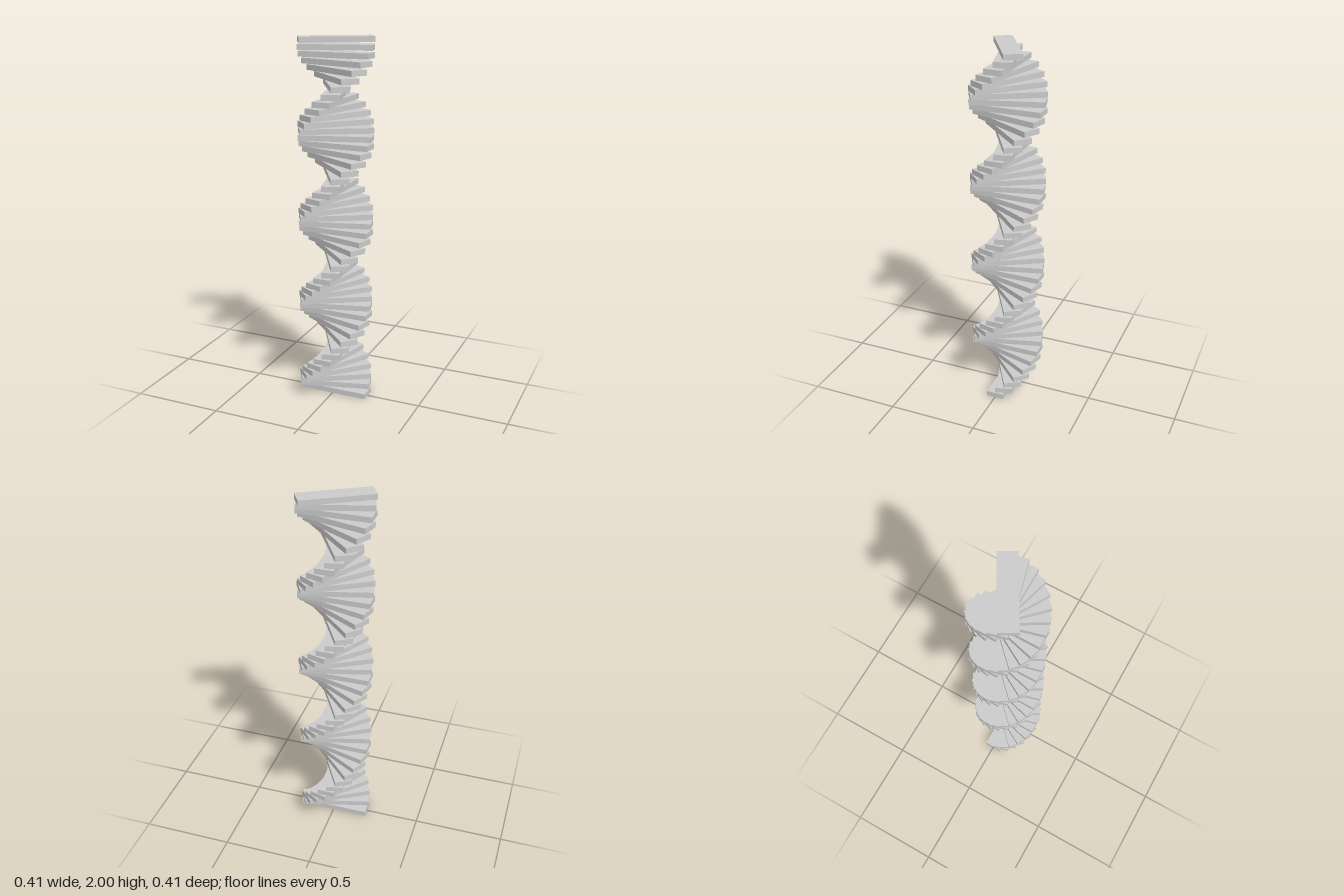
import * as THREE from 'three';

// A twisting stack of identical slats, each turned 15 degrees from the one below
export function createModel() {
  const group = new THREE.Group();
  group.name = 'twistedSlatTower';

  const count = 51;
  const length = 0.394, thickness = 0.0296, width = 0.0985;
  const pitch = (2 - thickness) / (count - 1);
  const turn = THREE.MathUtils.degToRad(15);

  const geometry = new THREE.BoxGeometry(length, thickness, width);
  const material = new THREE.MeshStandardMaterial({ color: 0xcccccc, flatShading: true });

  for (let i = 0; i < count; i++) {
    const slat = new THREE.Mesh(geometry, material);
    slat.name = `slat${i + 1}`;
    slat.position.y = thickness / 2 + i * pitch;
    slat.rotation.y = i * turn;
    group.add(slat);
  }
  return group;
}
